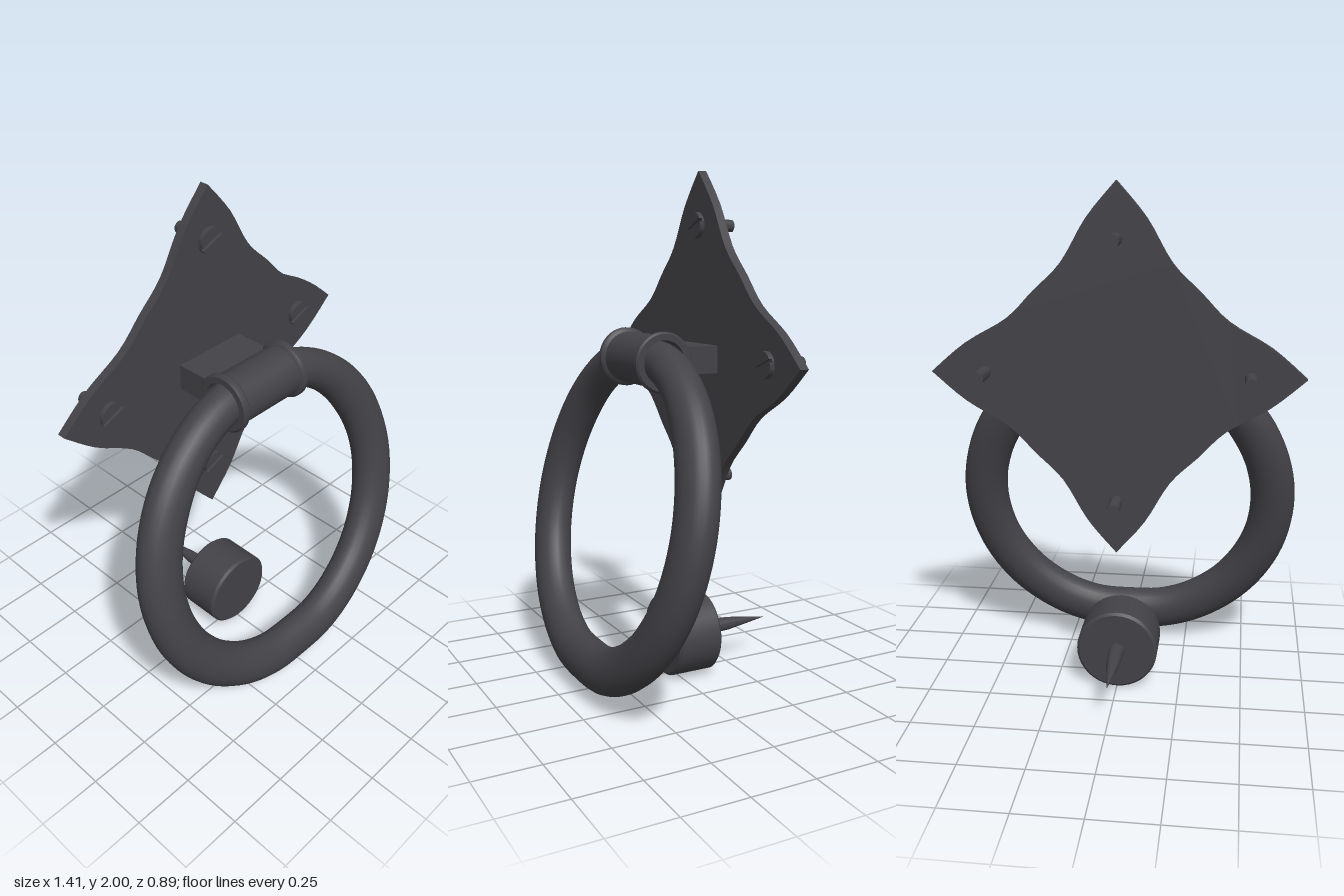
import * as THREE from 'three';
import { toCreasedNormals } from 'three/addons/utils/BufferGeometryUtils.js';

const iron = new THREE.MeshStandardMaterial({ color: 0x434247 });
iron.name = 'darkIron';

const PLATE_Y = 1.295, PLATE_BACK = -0.145, PLATE_FRONT = -0.11;
const PIVOT_Y = 1.285, PIVOT_Z = 0.125;

function part(name, geometry, x = 0, y = 0, z = 0) {
  const mesh = new THREE.Mesh(geometry, iron);
  mesh.name = name;
  mesh.position.set(x, y, z);
  return mesh;
}

// Turned part: [radius, height] profile around y, keeping sharp edges
function turned(profile, segments) {
  const g = new THREE.LatheGeometry(profile.map(([r, h]) => new THREE.Vector2(r, h)), segments);
  return toCreasedNormals(g, 0.6);
}

// Four-pointed plate with waisted sides
function plateGeometry() {
  const edge = [[0, 0.705], [0.11, 0.575], [0.205, 0.415], [0.31, 0.31], [0.415, 0.205], [0.575, 0.11], [0.705, 0]];
  const points = [];
  for (let k = 0; k < 4; k++) {
    const c = Math.round(Math.cos(k * Math.PI / 2)), s = Math.round(Math.sin(k * Math.PI / 2));
    const curve = new THREE.SplineCurve(edge.map(([x, y]) => new THREE.Vector2(x * c + y * s, y * c - x * s)));
    points.push(...curve.getPoints(24).slice(0, -1));
  }
  const g = new THREE.ExtrudeGeometry(new THREE.Shape(points), { depth: PLATE_FRONT - PLATE_BACK, bevelEnabled: false });
  return toCreasedNormals(g, 0.5);
}

// Slotted screw with its shank through the plate
function screw(x, y) {
  const group = new THREE.Group();
  group.name = 'screw';
  const shank = new THREE.CylinderGeometry(0.024, 0.024, 0.15, 16).rotateX(Math.PI / 2);
  group.add(part('screwShank', toCreasedNormals(shank, 0.6), 0, 0, -0.185));
  const disc = new THREE.CylinderGeometry(0.05, 0.05, 0.015, 32).rotateX(Math.PI / 2);
  group.add(part('screwHeadBase', toCreasedNormals(disc, 0.6), 0, 0, -0.1095));
  const a = 0.14;
  const half = new THREE.Shape().absarc(0, 0, 0.05, a, Math.PI - a, false);
  const halfGeometry = new THREE.ExtrudeGeometry(half, { depth: 0.012, bevelEnabled: false, curveSegments: 16 });
  for (const turn of [0, Math.PI]) {
    const top = part('screwHeadHalf', halfGeometry, 0, 0, -0.102);
    top.rotation.z = turn + 0.4;
    group.add(top);
  }
  group.position.set(x, y, 0);
  return group;
}

// Ring with an oval section, straight and slimmer where it passes the sleeve
function ringGeometry() {
  const right = [[0.14, 0], [0.3, -0.055], [0.45, -0.175], [0.565, -0.36], [0.61, -0.57],
    [0.575, -0.785], [0.465, -0.97], [0.31, -1.095], [0.155, -1.155]];
  const pts = [[0, 0], ...right, [0, -1.165], ...right.slice().reverse().map(([x, y]) => [-x, y])];
  const path = new THREE.CatmullRomCurve3(pts.map(([x, y]) => new THREE.Vector3(x, y * 1.022, 0)), true);
  const steps = 112, sides = 24;
  const g = new THREE.TubeGeometry(path, steps, 1, sides, true);
  const pos = g.attributes.position;
  const v = new THREE.Vector3();
  for (let i = 0; i <= steps; i++) {
    const c = path.getPointAt((i % steps) / steps);
    const width = THREE.MathUtils.lerp(0.091, 0.077, THREE.MathUtils.smoothstep(c.y, -0.3, 0));
    for (let j = 0; j <= sides; j++) {
      const k = i * (sides + 1) + j;
      v.fromBufferAttribute(pos, k).sub(c);
      pos.setXYZ(k, c.x + v.x * width, c.y + v.y * width, v.z * 0.075);
    }
  }
  return toCreasedNormals(g, 1.2);
}

export function createModel() {
  const model = new THREE.Group();
  model.name = 'doorKnocker';

  // Back plate and its four screws
  model.add(part('backPlate', plateGeometry(), 0, PLATE_Y, PLATE_BACK));
  for (const [x, y] of [[0.5, 0], [-0.5, 0], [0, 0.5], [0, -0.495]]) model.add(screw(x, PLATE_Y + y));

  // Bracket from the plate to the sleeve
  model.add(part('bracket', new THREE.BoxGeometry(0.315, 0.105, 0.15), 0, 1.288, -0.04));

  // Hollow sleeve with a raised collar at each end
  const sleeve = turned([
    [0.084, -0.173], [0.108, -0.173], [0.115, -0.166], [0.115, -0.15], [0.108, -0.142], [0.1, -0.138],
    [0.1, 0.138], [0.108, 0.142], [0.115, 0.15], [0.115, 0.166], [0.108, 0.173], [0.084, 0.173], [0.084, -0.173],
  ], 40).rotateZ(Math.PI / 2);
  model.add(part('sleeve', sleeve, 0, PIVOT_Y, PIVOT_Z));

  // Swinging ring, tilted forward at the bottom
  const ring = part('ring', ringGeometry(), 0, PIVOT_Y, PIVOT_Z);
  ring.rotation.x = -0.208;
  model.add(ring);

  // Striker stud with its spike pointing back
  const stud = turned([
    [0, -0.14], [0.152, -0.14], [0.162, -0.13], [0.162, 0.038], [0.152, 0.048], [0, 0.048],
  ], 40).rotateX(Math.PI / 2);
  model.add(part('strikerStud', stud, 0, 0.163, 0));
  const spike = turned([[0, -0.44], [0.012, -0.36], [0.026, -0.26], [0.032, -0.135]], 20).rotateX(Math.PI / 2);
  model.add(part('strikerSpike', spike, 0, 0.163, 0));

  return model;
}
